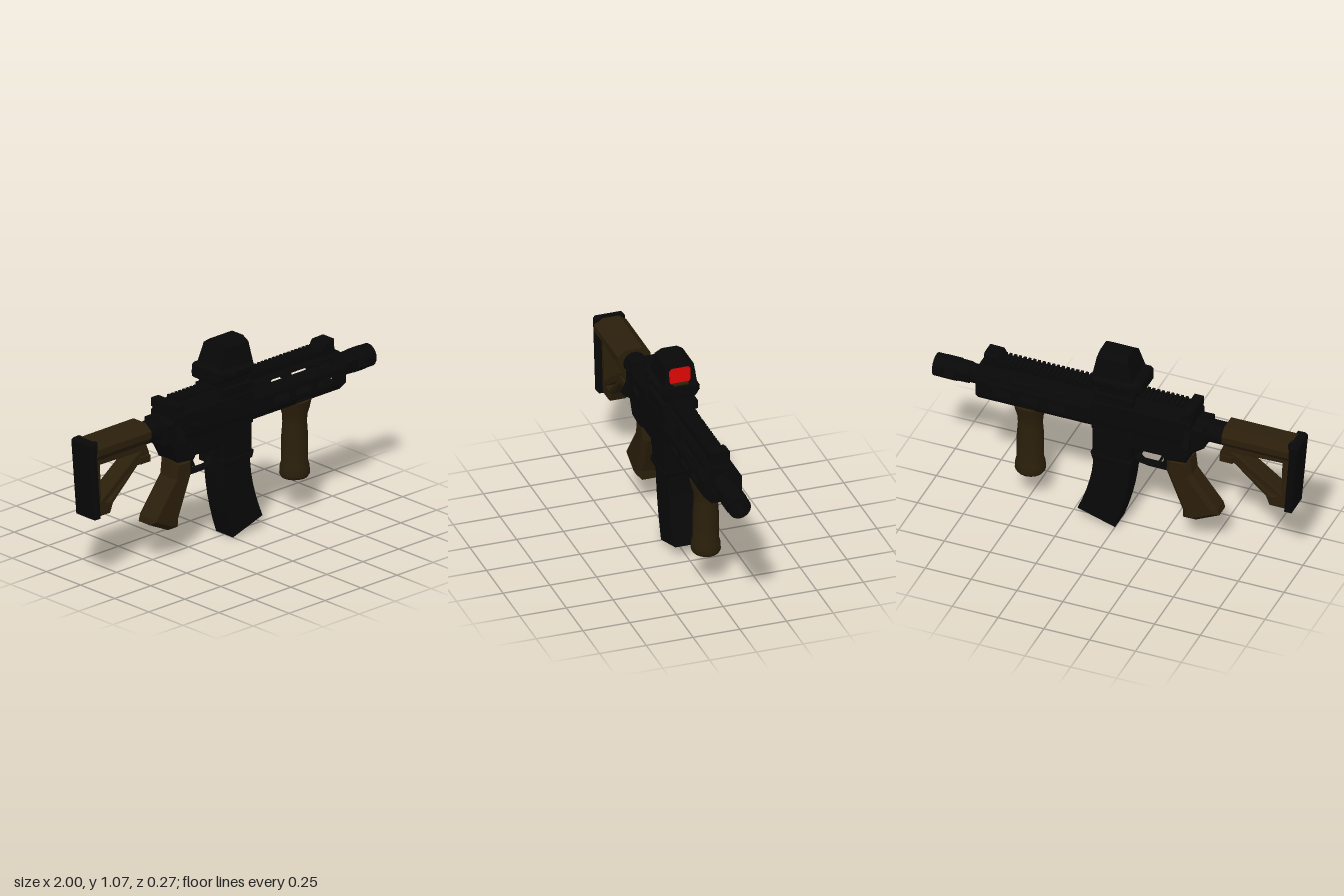
import * as THREE from 'three';
import { toCreasedNormals } from 'three/addons/utils/BufferGeometryUtils.js';

const black = new THREE.MeshStandardMaterial({ color: 0x080808 });
black.name = 'black';
const brown = new THREE.MeshStandardMaterial({ color: 0x2b1f0b });
brown.name = 'brown';
const red = new THREE.MeshStandardMaterial({ color: 0xd80606 });
red.name = 'red';

const poly = (pts) => new THREE.Shape(pts.map(([x, y]) => new THREE.Vector2(x, y)));
const mirror = (half) => [...half, ...half.slice().reverse().map(([z, y]) => [-z, y])];

export function createModel() {
  const model = new THREE.Group();

  function add(name, geo, mat, x = 0, y = 0, z = 0) {
    const m = new THREE.Mesh(geo, mat);
    m.name = name;
    m.position.set(x, y, z);
    model.add(m);
    return m;
  }
  const box = (name, mat, x0, x1, y0, y1, w, z = 0) =>
    add(name, new THREE.BoxGeometry(x1 - x0, y1 - y0, w), mat, (x0 + x1) / 2, (y0 + y1) / 2, z);

  // Side profile (x, y) with total width w, chamfered edges
  function side(name, mat, pts, w, bevel = 0.015, holes = []) {
    const s = poly(pts);
    s.holes = holes.map(poly);
    const g = new THREE.ExtrudeGeometry(s, {
      depth: w - 2 * bevel, bevelEnabled: bevel > 0, bevelThickness: bevel,
      bevelSize: bevel, bevelOffset: -bevel, bevelSegments: 1,
    });
    g.translate(0, 0, -w / 2 + bevel);
    return add(name, g, mat);
  }

  // Cross-section (z, y) swept along x
  function barGeo(pts, x0, x1, holes = []) {
    const s = poly(pts);
    s.holes = holes.map(poly);
    const g = new THREE.ExtrudeGeometry(s, { depth: x1 - x0, bevelEnabled: false });
    return g.rotateY(Math.PI / 2).translate(x0, 0, 0);
  }
  const bar = (name, mat, half, x0, x1) => add(name, barGeo(mirror(half), x0, x1), mat);

  // Cylinder along x
  const rod = (name, mat, x0, x1, y, r0, r1 = r0, n = 12) => {
    const g = new THREE.CylinderGeometry(r1, r0, x1 - x0, n).rotateY(Math.PI / n).rotateZ(-Math.PI / 2);
    return add(name, toCreasedNormals(g, 0.6), mat, (x0 + x1) / 2, y, 0);
  };

  // Stock
  bar('stockComb', brown, [[0.045, 0.78], [0.087, 0.745], [0.087, 0.71], [0.06, 0.675]], -0.955, -0.59);
  side('stockFrame', brown, [[-0.955, 0.7], [-0.93, 0.36], [-0.835, 0.36], [-0.815, 0.41], [-0.645, 0.565],
    [-0.565, 0.565], [-0.565, 0.615], [-0.6, 0.7]], 0.1, 0.008, [
    [[-0.905, 0.64], [-0.63, 0.635], [-0.67, 0.62], [-0.9, 0.45]],
    [[-0.87, 0.43], [-0.845, 0.425], [-0.675, 0.575], [-0.68, 0.595]]]);
  box('stockLever', brown, -0.64, -0.57, 0.572, 0.607, 0.12);
  side('buttPad', black, [[-1, 0.77], [-0.985, 0.78], [-0.945, 0.78], [-0.95, 0.69], [-0.925, 0.36], [-0.965, 0.36]], 0.16, 0.012);
  rod('bufferTube', black, -0.62, -0.4, 0.705, 0.06);
  rod('castleNut', black, -0.5, -0.47, 0.705, 0.066);

  // Receiver
  bar('upperReceiver', black, [[0.05, 0.83], [0.09, 0.77], [0.09, 0.66], [0.08, 0.6]], -0.425, 0.12);
  side('lowerReceiver', black, [[-0.49, 0.755], [-0.4, 0.755], [0.12, 0.66], [0.12, 0.42], [-0.09, 0.42], [-0.1, 0.525],
    [-0.27, 0.525], [-0.28, 0.505], [-0.39, 0.515], [-0.43, 0.59], [-0.49, 0.635]], 0.17, 0.015);
  bar('receiverEars', black, [[0.06, 0.775], [0.095, 0.72], [0.133, 0.645], [0.08, 0.61]], -0.425, -0.39);
  box('rearSight', black, -0.42, -0.37, 0.785, 0.832, 0.19);
  side('magwellCollar', black, [[-0.1, 0.41], [0.115, 0.41], [0.127, 0.45], [-0.1, 0.45]], 0.18, 0.01);
  box('ejectionPort', black, -0.16, 0.06, 0.68, 0.75, 0.008, 0.092);
  box('boltCatch', black, -0.12, -0.08, 0.56, 0.63, 0.02, -0.085);
  for (const s of [1, -1]) {
    box('selector', black, -0.33, -0.27, 0.565, 0.585, 0.01, s * 0.086);
    for (const x of [-0.38, 0.08]) {
      add('receiverPin', new THREE.CylinderGeometry(0.013, 0.013, 0.01, 8).rotateX(Math.PI / 2), black, x, 0.58, s * 0.084);
    }
  }
  const assist = new THREE.CylinderGeometry(0.018, 0.018, 0.07, 8).rotateZ(1.2);
  add('forwardAssist', assist, black, -0.3, 0.7, 0.085);

  // Trigger and guard
  side('triggerGuard', black, [[-0.28, 0.53], [-0.28, 0.4], [-0.17, 0.4], [-0.08, 0.415], [-0.08, 0.53]], 0.045, 0.004,
    [[[-0.255, 0.52], [-0.245, 0.44], [-0.225, 0.418], [-0.13, 0.418], [-0.1, 0.45], [-0.1, 0.52]]]);
  side('trigger', black, [[-0.245, 0.53], [-0.215, 0.53], [-0.235, 0.48], [-0.215, 0.435], [-0.225, 0.43], [-0.25, 0.48]], 0.025, 0);

  // Curved magazine
  const back = new THREE.QuadraticBezierCurve(new THREE.Vector2(-0.085, 0.43), new THREE.Vector2(-0.08, 0.22), new THREE.Vector2(0, 0));
  const front = new THREE.QuadraticBezierCurve(new THREE.Vector2(0.205, 0.065), new THREE.Vector2(0.115, 0.27), new THREE.Vector2(0.118, 0.43));
  side('magazine', black, [...back.getPoints(6), ...front.getPoints(6)].map((p) => [p.x, p.y]), 0.136, 0.006);

  // Pistol grip
  side('pistolGrip', brown, [[-0.4, 0.52], [-0.275, 0.515], [-0.272, 0.42], [-0.3, 0.35], [-0.36, 0.2], [-0.362, 0.152],
    [-0.43, 0.152], [-0.56, 0.215], [-0.55, 0.25], [-0.41, 0.43]], 0.125, 0.024);

  // Hollow eight-sided handguard, made from slotted panels
  const H0 = 0.12, H1 = 0.745;
  function panel(a, b, slots) {
    const w = Math.hypot(b[0] - a[0], b[1] - a[1]);
    const s = poly([[H0, 0], [H1, 0], [H1, w], [H0, w]]);
    s.holes = slots.map(([x0, x1]) => poly([[x0, w * 0.4], [x0 + 0.012, w * 0.25], [x1 - 0.012, w * 0.25], [x1, w * 0.4],
      [x1, w * 0.6], [x1 - 0.012, w * 0.75], [x0 + 0.012, w * 0.75], [x0, w * 0.6]]));
    const g = new THREE.ExtrudeGeometry(s, { depth: 0.012, bevelEnabled: false }).translate(0, 0, -0.012);
    g.rotateX(Math.atan2(b[0] - a[0], b[1] - a[1]));
    add('handguardPanel', g, black, 0, a[1], a[0]);
  }
  // Corners run up the +z side, then down the -z side
  const section = [[0.06, 0.603], [0.103, 0.65], [0.103, 0.73], [0.055, 0.805]];
  const ring = mirror(section);
  const lowSlots = [[0.42, 0.52]];
  const sideSlots = [[0.25, 0.36], [0.4, 0.51], [0.55, 0.66]];
  const highSlots = [[0.25, 0.34], [0.38, 0.57], [0.59, 0.69]];
  const rows = [lowSlots, sideSlots, highSlots, [], highSlots, sideSlots, lowSlots, []];
  ring.forEach((p, i) => panel(p, ring[(i + 1) % ring.length], rows[i]));
  const inner = mirror([[0.035, 0.64], [0.06, 0.67], [0.06, 0.73], [0.035, 0.765]]);
  add('handguardFrontCap', barGeo(ring, H1 - 0.03, H1 - 0.002, [inner]), black);
  bar('handguardRearCap', black, section, 0.115, 0.16);

  // Top rail with teeth
  box('rail', black, -0.37, 0.72, 0.79, 0.834, 0.085);
  for (let x = -0.36; x < 0.63; x += 0.026) box('railTooth', black, x, x + 0.014, 0.83, 0.847, 0.085);
  side('frontSight', black, [[0.62, 0.83], [0.645, 0.873], [0.722, 0.875], [0.726, 0.79], [0.64, 0.79]], 0.1, 0.01);

  // Barrel and muzzle device with a window through it
  rod('barrel', black, 0.12, 0.82, 0.7, 0.034);
  rod('gasBlock', black, 0.72, 0.82, 0.7, 0.05);
  rod('muzzleBase', black, 0.81, 0.883, 0.7, 0.058, 0.06, 8);
  const muzzleRing = new THREE.Shape();
  muzzleRing.absarc(0, 0, 0.06, 0, Math.PI * 2);
  const bore = new THREE.Path();
  bore.absarc(0, 0, 0.032, 0, Math.PI * 2, true);
  muzzleRing.holes.push(bore);
  const tip = new THREE.ExtrudeGeometry(muzzleRing, { depth: 0.05, bevelEnabled: false, curveSegments: 10 });
  add('muzzleTip', tip.rotateY(Math.PI / 2), black, 0.95, 0.7, 0);
  bar('muzzleTop', black, [[0.057, 0.722], [0.05, 0.738], [0.024, 0.757]], 0.875, 0.955);
  bar('muzzleBottom', black, [[0.024, 0.643], [0.05, 0.662], [0.057, 0.676]], 0.875, 0.955);
  box('boreInsert', brown, 0.881, 0.885, 0.677, 0.697, 0.026, -0.006);

  // Vertical foregrip
  const gripProfile = [[0, 0.185], [0.07, 0.185], [0.08, 0.2], [0.077, 0.245], [0.07, 0.27], [0.07, 0.4],
    [0.064, 0.48], [0.066, 0.52], [0.078, 0.56], [0.088, 0.606], [0, 0.61]];
  const foregrip = new THREE.LatheGeometry(gripProfile.map(([r, y]) => new THREE.Vector2(r, y)), 16);
  add('foregrip', toCreasedNormals(foregrip, 0.7), brown, 0.487, 0, 0).scale.z = 0.95;

  // Optic: clamp, body, tapered hood with recessed lens
  box('opticClamp', black, -0.11, 0.1, 0.785, 0.832, 0.19);
  box('opticMount', black, -0.11, 0.09, 0.83, 0.885, 0.14);
  side('opticBody', black, [[-0.152, 0.88], [-0.14, 0.87], [0.11, 0.87], [0.123, 0.88], [0.123, 0.935], [0.11, 0.945],
    [-0.075, 0.953], [-0.14, 0.953], [-0.152, 0.94]], 0.215, 0.03);
  for (const s of [1, -1]) {
    const knob = new THREE.CylinderGeometry(0.015, 0.024, 0.04, 8).rotateX(s * Math.PI / 2);
    add('opticKnob', knob, black, -0.045, 0.912, s * 0.11);
  }
  const taper = (geo) => {
    const p = geo.attributes.position;
    for (let i = 0; i < p.count; i++) {
      const k = (p.getY(i) - 0.93) / 0.14;
      const t = p.getX(i);
      p.setX(i, (1 - t) * (-0.11 + 0.045 * k) + t * (0.115 - 0.025 * k));
    }
    geo.computeVertexNormals();
    return geo;
  };
  const hood = mirror([[0.09, 0.92], [0.075, 1.045], [0.04, 1.07]]);
  const pane = mirror([[0.045, 0.945], [0.058, 0.96], [0.06, 1.02], [0.045, 1.035]]);
  add('opticHood', taper(barGeo(hood, 0, 0.9)), black);
  add('opticHoodRim', taper(barGeo(hood, 0.9, 1, [pane])), black);
  add('opticLens', taper(barGeo(pane, 0.895, 0.925)), red);
  box('opticSill', brown, 0.09, 0.117, 0.943, 0.949, 0.08);

  return model;
}
